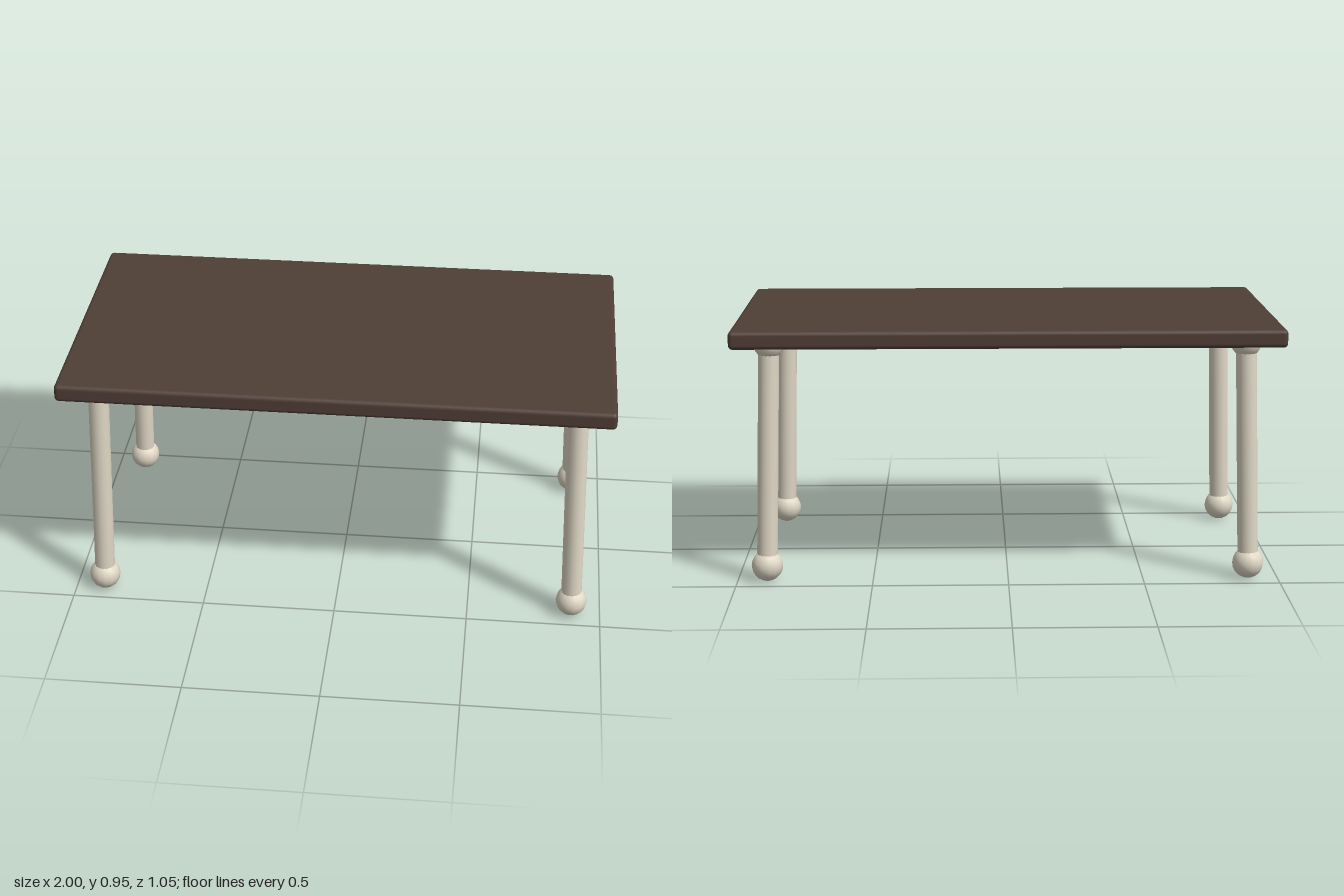
import * as THREE from 'three';
import { RoundedBoxGeometry } from 'three/addons/geometries/RoundedBoxGeometry.js';

const UP = new THREE.Vector3(0, 1, 0);

export function createModel() {
  const table = new THREE.Group();
  table.name = 'table';
  const wood = new THREE.MeshStandardMaterial({ color: 0x4f3e36 });
  const cream = new THREE.MeshStandardMaterial({ color: 0xe0d8c6 });

  const add = (parent, name, geometry, material, position) => {
    const mesh = new THREE.Mesh(geometry, material);
    mesh.name = name;
    mesh.position.copy(position);
    parent.add(mesh);
    return mesh;
  };

  // Tabletop slab with softened edges
  add(table, 'tabletop', new RoundedBoxGeometry(2, 0.066, 1.054, 3, 0.016), wood,
    new THREE.Vector3(0, 0.916, 0));

  // Four splayed legs, each a rod between a ball foot and a half-ball collar
  const ball = new THREE.SphereGeometry(0.058, 14, 10);
  const collar = new THREE.SphereGeometry(0.058, 14, 6, 0, Math.PI * 2, Math.PI / 2, Math.PI / 2);
  for (const sx of [1, -1]) {
    for (const sz of [1, -1]) {
      const leg = new THREE.Group();
      leg.name = (sz > 0 ? 'front' : 'back') + (sx > 0 ? 'Left' : 'Right') + 'Leg';
      const foot = new THREE.Vector3(sx * 0.89, 0.058, sz * 0.421);
      const top = new THREE.Vector3(sx * 0.866, 0.888, sz * 0.4);
      const axis = top.clone().sub(foot);
      const rod = add(leg, 'rod', new THREE.CylinderGeometry(0.038, 0.038, axis.length(), 16),
        cream, foot.clone().lerp(top, 0.5));
      rod.quaternion.setFromUnitVectors(UP, axis.normalize());
      add(leg, 'ballFoot', ball, cream, foot);
      add(leg, 'collar', collar, cream, top);
      table.add(leg);
    }
  }
  return table;
}
